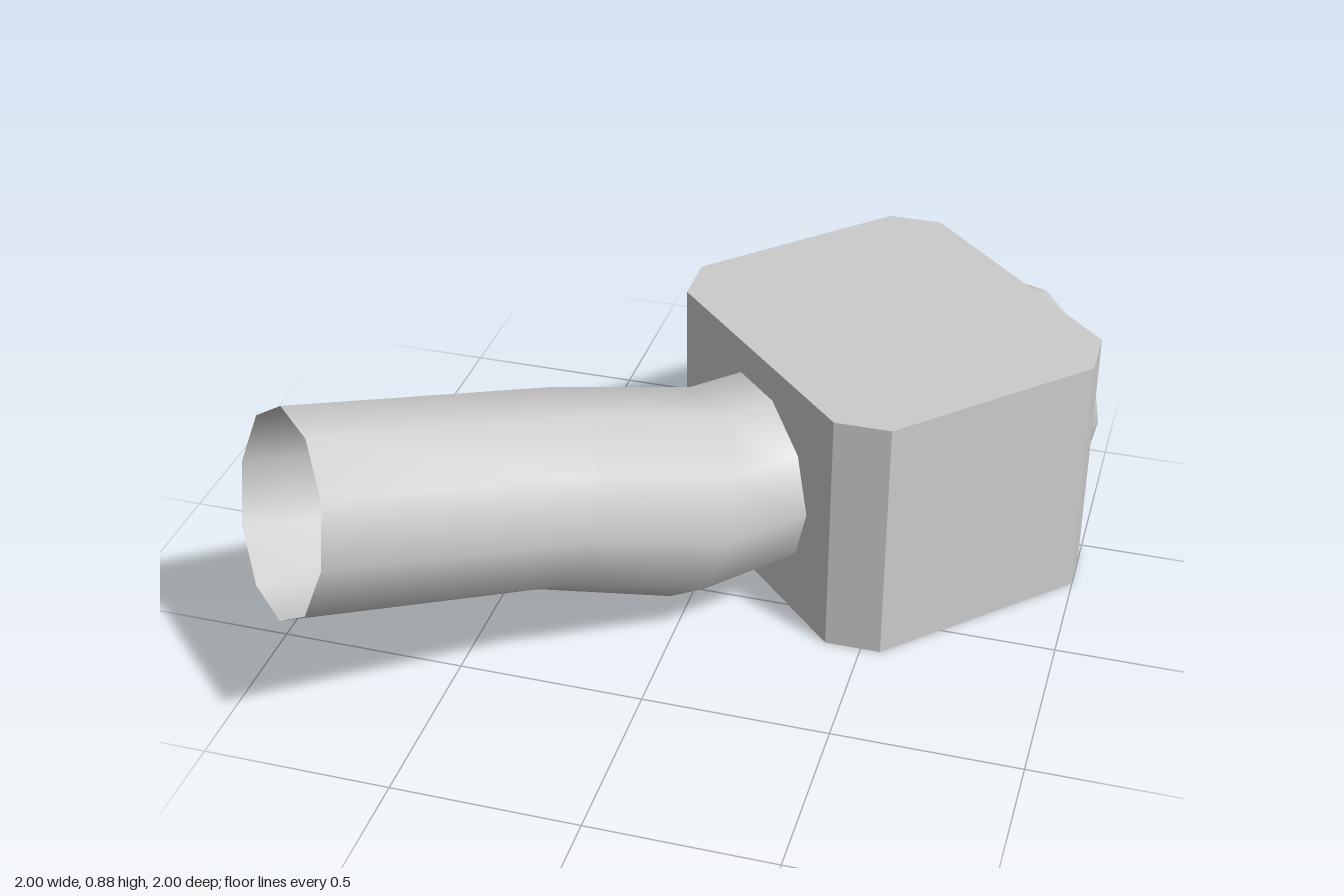
import * as THREE from 'three';

const material = new THREE.MeshStandardMaterial({ color: 0xcccccc });
const openMaterial = new THREE.MeshStandardMaterial({ color: 0xcccccc, side: THREE.DoubleSide });

function addMesh(parent, name, geometry, mat = material) {
  const mesh = new THREE.Mesh(geometry, mat);
  mesh.name = name;
  parent.add(mesh);
  return mesh;
}

// Block with chamfered vertical corners, standing on y = 0
function housingGeometry(halfWidth, back, front, chamfer, height) {
  const w = halfWidth, c = chamfer;
  const shape = new THREE.Shape([
    [w, -front + c], [w, -back - c], [w - c, -back], [-w + c, -back],
    [-w, -back - c], [-w, -front + c], [-w + c, -front], [w - c, -front],
  ].map(([x, y]) => new THREE.Vector2(x, y)));
  return new THREE.ExtrudeGeometry(shape, { depth: height, bevelEnabled: false }).rotateX(-Math.PI / 2);
}

// Open tube lofted through mitred ten-sided rings
function pipeGeometry(rings, radius, sides) {
  const positions = [], index = [];
  for (const { z, y, leanZ, leanY } of rings) {
    for (let i = 0; i < sides; i++) {
      const a = (i / sides) * Math.PI * 2, s = Math.sin(a);
      positions.push(radius * Math.cos(a), y + leanY * s, z + leanZ * s);
    }
  }
  for (let r = 0; r < rings.length - 1; r++) {
    for (let i = 0; i < sides; i++) {
      const a = r * sides + i, b = r * sides + ((i + 1) % sides);
      index.push(a, b, b + sides, a, b + sides, a + sides);
    }
  }
  const geometry = new THREE.BufferGeometry();
  geometry.setAttribute('position', new THREE.Float32BufferAttribute(positions, 3));
  geometry.setIndex(index);
  geometry.computeVertexNormals();
  return geometry;
}

export function createModel() {
  const model = new THREE.Group();
  model.name = 'pipeFitting';

  // Everything lies along one diagonal axis
  const body = new THREE.Group();
  body.name = 'body';
  body.rotation.y = -Math.PI / 4;
  model.add(body);

  addMesh(body, 'housing', housingGeometry(0.488, -1.028, -0.188, 0.106, 0.7));

  // Bent pipe rising away from the housing
  const rings = [
    { z: -0.19, y: 0.346, leanZ: 0, leanY: 0.268 },
    { z: 0.045, y: 0.336, leanZ: -0.08, leanY: 0.278 },
    { z: 0.438, y: 0.478, leanZ: -0.076, leanY: 0.255 },
    { z: 1.147, y: 0.637, leanZ: -0.06, leanY: 0.26 },
  ];
  addMesh(body, 'bentPipe', pipeGeometry(rings, 0.268, 10), openMaterial);

  // Stepped round cap on the back
  const steps = [['capBase', 0.283, -1.131], ['capTop', 0.21, -1.167]];
  for (const [name, radius, back] of steps) {
    const depth = -1.02 - back;
    const disc = new THREE.CylinderGeometry(radius, radius, depth, 12).rotateX(Math.PI / 2);
    addMesh(body, name, disc).position.set(0, 0.352, back + depth / 2);
  }

  return model;
}
